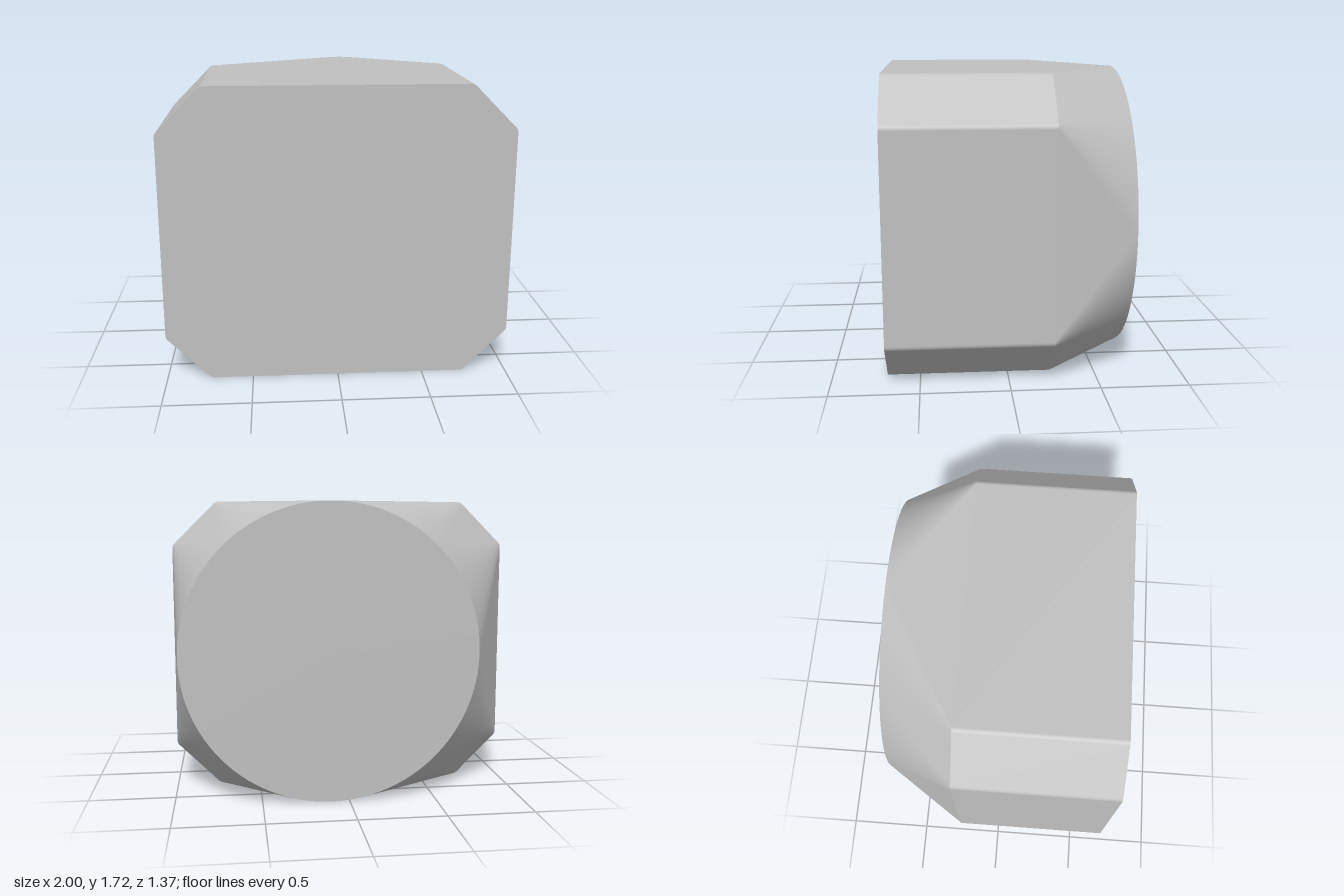
import * as THREE from 'three';

const FRONT = 0.687, MIDDLE = -0.243, BACK = -0.687;
const CENTRE_Y = 0.8575, RADIUS = 0.8575, CIRCLE_X = 0.105;
const FILLET = 0.04, STEPS = 12;

// Octagon with softened corners, and the circle point sharing each outward direction
function makeRows() {
  const rows = [];
  for (let k = 0; k < 8; k++) {
    const mid = (k + 0.5) * Math.PI / 4;
    const steep = k === 1 || k === 2 || k === 5 || k === 6;
    const inset = FILLET / Math.cos(Math.PI / 8);
    const cx = Math.sign(Math.cos(mid)) * (steep ? 0.7425 : 1) - Math.cos(mid) * inset;
    const cy = CENTRE_Y + Math.sign(Math.sin(mid)) * (steep ? 0.8575 : 0.6) - Math.sin(mid) * inset;
    for (let i = 0; i <= STEPS; i++) {
      const a = (k + i / STEPS) * Math.PI / 4;
      const n = new THREE.Vector2(Math.cos(a), Math.sin(a));
      rows.push({
        n,
        octagon: new THREE.Vector2(cx, cy).addScaledVector(n, FILLET),
        circle: new THREE.Vector2(CIRCLE_X, CENTRE_Y).addScaledVector(n, RADIUS),
      });
    }
  }
  rows.push(rows[0]);
  return rows;
}

// Ruled wall between two outlines, with exact smooth normals
function wall(rows, fromKey, fromZ, toKey, toZ) {
  const positions = [], normals = [], index = [];
  rows.forEach((row, i) => {
    const p = row[fromKey], q = row[toKey];
    const slope = -row.n.dot(q.clone().sub(p)) / (toZ - fromZ);
    const normal = new THREE.Vector3(row.n.x, row.n.y, slope).normalize();
    positions.push(p.x, p.y, fromZ, q.x, q.y, toZ);
    normals.push(...normal.toArray(), ...normal.toArray());
    if (i < rows.length - 1) {
      const a = 2 * i;
      index.push(a, a + 1, a + 3, a, a + 3, a + 2);
    }
  });
  const g = new THREE.BufferGeometry();
  g.setAttribute('position', new THREE.Float32BufferAttribute(positions, 3));
  g.setAttribute('normal', new THREE.Float32BufferAttribute(normals, 3));
  g.setIndex(index);
  return g;
}

export function createModel() {
  const model = new THREE.Group();
  model.name = 'octagonToRoundAdapter';
  const grey = new THREE.MeshStandardMaterial({ color: 0xc0c0c0 });
  grey.name = 'plainGrey';
  const rows = makeRows();

  const add = (name, geometry) => {
    const mesh = new THREE.Mesh(geometry, grey);
    mesh.name = name;
    model.add(mesh);
    return mesh;
  };

  // Straight octagonal body and the transition to the offset round end
  add('octagonalBody', wall(rows, 'octagon', FRONT, 'octagon', MIDDLE));
  add('roundTransition', wall(rows, 'octagon', MIDDLE, 'circle', BACK));

  // Flat end faces
  const outline = new THREE.Shape(rows.slice(0, -1).map(r => r.octagon));
  add('frontFace', new THREE.ShapeGeometry(outline)).position.z = FRONT;
  const back = add('roundBackFace', new THREE.CircleGeometry(RADIUS, 8 * STEPS));
  back.rotation.y = Math.PI;
  back.position.set(CIRCLE_X, CENTRE_Y, BACK);

  return model;
}
